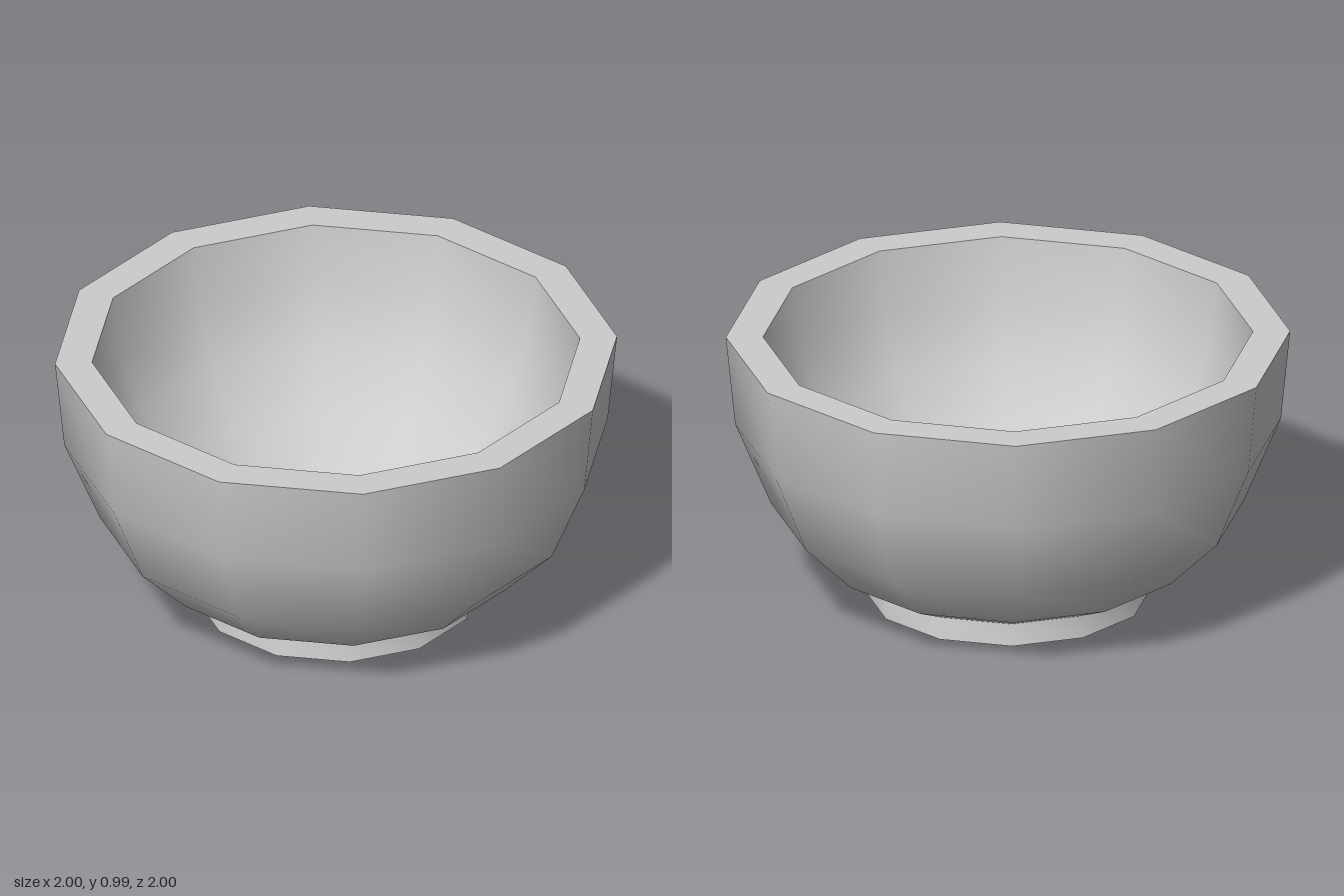
import * as THREE from 'three';
import { mergeVertices } from 'three/addons/utils/BufferGeometryUtils.js';

const SIDES = 12;
const RIM_Y = 0.985;
const INNER_RADIUS = 0.868;
const INNER_STEPS = 6;

// Lathe with shared vertices, so the normals run smoothly over the whole piece and its seam.
function smoothLathe(profile) {
  const points = profile.map(([r, y]) => new THREE.Vector2(r, y));
  const lathe = new THREE.LatheGeometry(points, SIDES);
  lathe.deleteAttribute('normal');
  lathe.deleteAttribute('uv');
  const geometry = mergeVertices(lathe, 1e-4);
  geometry.computeVertexNormals();
  return geometry;
}

export function createModel() {
  const bowl = new THREE.Group();
  bowl.name = 'bowl';

  const grey = new THREE.MeshStandardMaterial({ color: 0xcccccc });
  grey.name = 'light grey';

  // Profiles run base -> outside -> rim -> inside; separate lathes keep the edges between them sharp.
  const addLathe = (name, profile) => {
    const mesh = new THREE.Mesh(smoothLathe(profile), grey);
    mesh.name = name;
    bowl.add(mesh);
  };

  // Foot
  addLathe('footBase', [[0, 0], [0.507, 0]]);
  addLathe('footRing', [[0.507, 0], [0.495, 0.08]]);

  // Curved body
  addLathe('outerWall', [[0.495, 0.08], [0.655, 0.155], [0.84, 0.342], [0.967, 0.65], [1, RIM_Y]]);
  addLathe('rim', [[1, RIM_Y], [INNER_RADIUS, RIM_Y]]);

  // Hemispherical hollow
  const hollow = [];
  for (let i = 0; i <= INNER_STEPS; i++) {
    const angle = (i / INNER_STEPS) * Math.PI / 2;
    hollow.push([INNER_RADIUS * Math.cos(angle), RIM_Y - INNER_RADIUS * Math.sin(angle)]);
  }
  addLathe('innerWall', hollow);

  return bowl;
}
